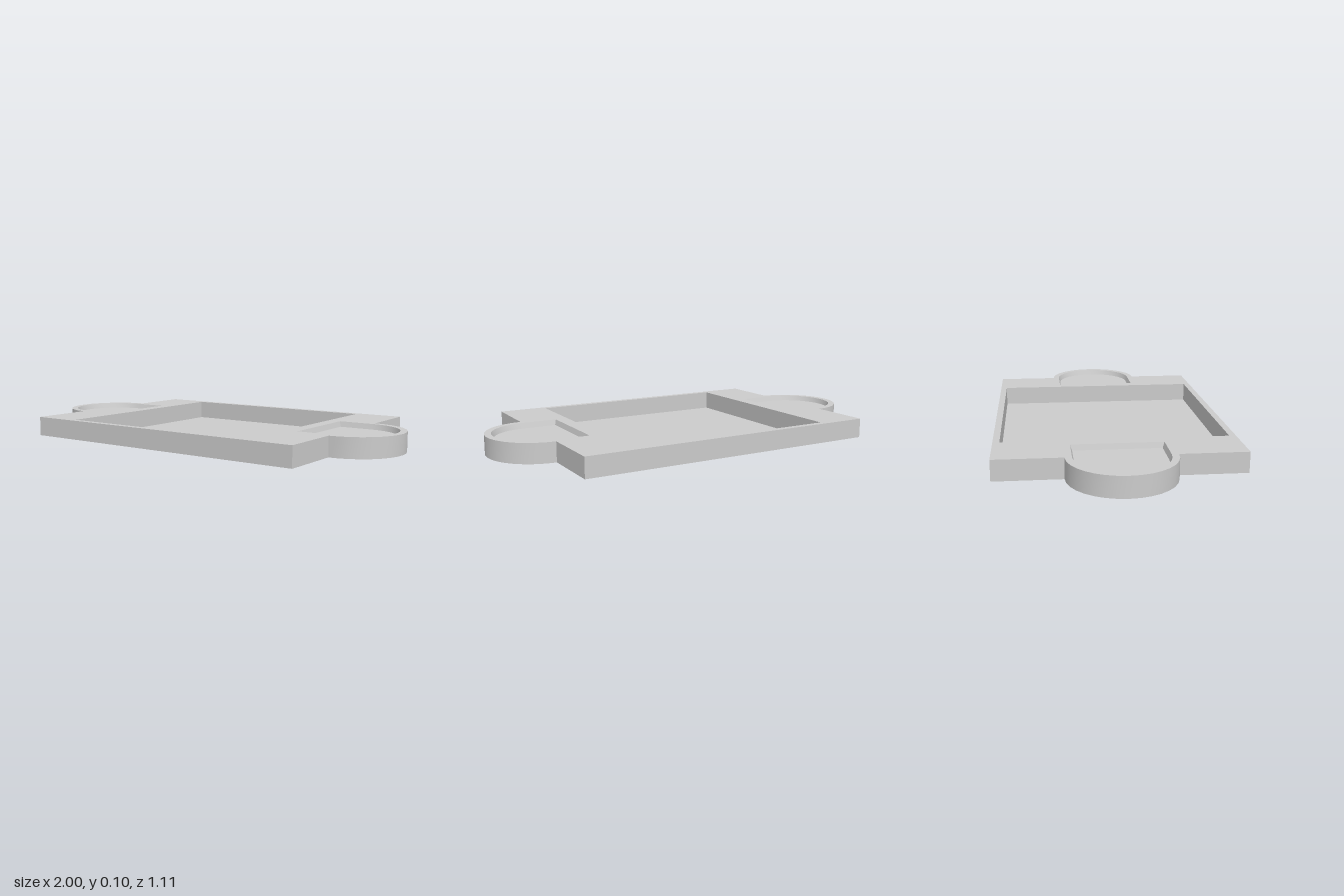
import * as THREE from 'three';
import { mergeVertices, toCreasedNormals } from 'three/addons/utils/BufferGeometryUtils.js';

const TOP = 0.096;      // height of the deck
const HALF_X = 0.757, HALF_Z = 0.553;
const TAB_R = 0.243;    // rounded ends reach x = +-1

const material = new THREE.MeshStandardMaterial({ color: 0xcccccc, side: THREE.DoubleSide });

const P = (x, y) => new THREE.Vector2(x, y);
const turned = (pts) => pts.map((p) => P(-p.x, -p.y));

// Half circle around the end of the deck, counter-clockwise
function endArc(radius) {
  const pts = [];
  for (let i = 0; i <= 16; i++) {
    const a = -Math.PI / 2 + (i / 16) * Math.PI;
    pts.push(P(HALF_X + radius * Math.cos(a), radius * Math.sin(a)));
  }
  return pts;
}

// D-shaped loop: straight inner edge plus half circle
const dLoop = (innerX, r) => [P(innerX, -r), ...endArc(r), P(innerX, r)];
const rectLoop = (x, y) => [P(-x, -y), P(x, -y), P(x, y), P(-x, y)];

function addMesh(group, name, geometry) {
  geometry.rotateX(-Math.PI / 2);
  const mesh = new THREE.Mesh(geometry, material);
  mesh.name = name;
  group.add(mesh);
}

// Flat upward-facing sheet at a given height
function sheet(loop, height, holes = []) {
  const shape = new THREE.Shape(loop);
  holes.forEach((h) => shape.holes.push(new THREE.Path(h)));
  return new THREE.ShapeGeometry(shape).translate(0, 0, height);
}

// Band of wall between two matching loops; faces outward unless inward is set
function wall(lower, lowY, upper, highY, inward = false) {
  const pos = [];
  const n = lower.length;
  for (let i = 0; i < n; i++) {
    const j = (i + 1) % n;
    const a = [lower[i].x, lower[i].y, lowY], b = [lower[j].x, lower[j].y, lowY];
    const c = [upper[j].x, upper[j].y, highY], d = [upper[i].x, upper[i].y, highY];
    pos.push(...(inward ? [a, c, b, a, d, c] : [a, b, c, a, c, d]).flat());
  }
  const g = new THREE.BufferGeometry();
  g.setAttribute('position', new THREE.Float32BufferAttribute(pos, 3));
  return toCreasedNormals(mergeVertices(g), 0.5);
}

export function createModel() {
  const model = new THREE.Group();
  model.name = 'tray';

  // Outline: rectangle with a rounded tab at each end
  const half = [P(HALF_X, -HALF_Z), ...endArc(TAB_R), P(HALF_X, HALF_Z)];
  const outline = [...half, ...turned(half)];

  const basin = rectLoop(0.521, 0.522);
  const rim = dLoop(0.583, 0.211);
  const inset = dLoop(0.591, 0.202);

  // Deck and open-bottomed skirt
  addMesh(model, 'deck', sheet(outline, TOP, [basin, rim, turned(rim)]));
  addMesh(model, 'skirt', wall(outline, 0, outline, TOP));

  // Deep central basin
  addMesh(model, 'basinWall', wall(basin, 0.001, basin, TOP, true));
  addMesh(model, 'basinFloor', sheet(basin, 0.001));

  // Shallow D-shaped recess in each tab
  const floorY = TOP - 0.026;
  for (const [side, place] of [['left', (l) => l], ['right', turned]]) {
    addMesh(model, side + 'RecessWall', wall(place(inset), floorY, place(rim), TOP, true));
    addMesh(model, side + 'RecessFloor', sheet(place(inset), floorY));
  }
  return model;
}
